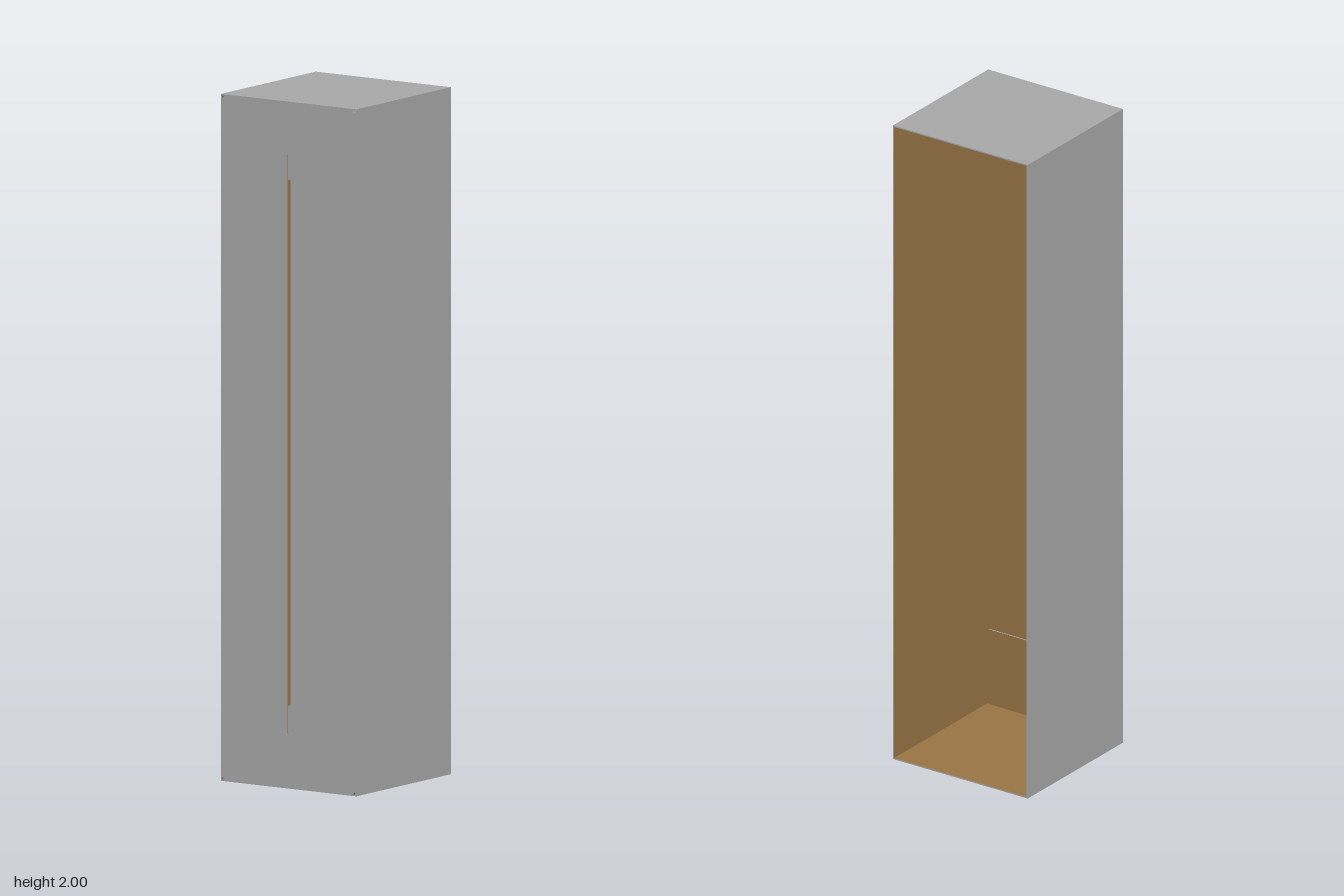
import * as THREE from 'three';

const W = 0.237;   // half width and half depth
const H = 2;       // height
const T = 0.004;   // sheet thickness

export function createModel() {
  const model = new THREE.Group();
  const grey = new THREE.MeshStandardMaterial({ color: 0xaaaaaa });
  grey.name = 'outer grey';
  const tan = new THREE.MeshStandardMaterial({ color: 0x9a7646 });
  tan.name = 'inner tan';

  // Sheet with one tan face; box faces run +x, -x, +y, -y, +z, -z
  function sheet(name, size, position, tanFace) {
    const materials = Array.from({ length: 6 }, (_, i) => (i === tanFace ? tan : grey));
    const mesh = new THREE.Mesh(new THREE.BoxGeometry(...size), materials);
    mesh.position.set(...position);
    mesh.name = name;
    model.add(mesh);
  }

  // Side walls, roof and floor; the back stays open
  sheet('leftWall', [T, H, 2 * W], [W - T / 2, H / 2, 0], 1);
  sheet('rightWall', [T, H, 2 * W], [-W + T / 2, H / 2, 0], 0);
  const inner = 2 * (W - T);
  sheet('roof', [inner, T, 2 * W], [0, H - T / 2, 0], 3);
  sheet('floor', [inner, T, 2 * W], [0, T / 2, 0], 2);

  // Flanges folded behind the front, covering the ends of the slot
  const flangeZ = W - 2.5 * T;
  sheet('upperFlange', [inner - 0.012, 0.23, T], [0, H - 0.115, flangeZ], 5);
  sheet('lowerFlange', [inner - 0.012, 0.24, T], [0, 0.12, flangeZ], 5);

  // Front panel with clipped corners and a tall narrow slot
  const x = W - T, y0 = T, y1 = H - T, c = 0.008;
  const outline = new THREE.Shape([
    [-x + c, y0], [x - c, y0], [x, y0 + c], [x, y1 - c],
    [x - c, y1], [-x + c, y1], [-x, y1 - c], [-x, y0 + c],
  ].map(([px, py]) => new THREE.Vector2(px, py)));
  outline.holes.push(new THREE.Path([
    [-0.007, 0.16], [-0.007, 1.845], [0.007, 1.845], [0.007, 0.16],
  ].map(([px, py]) => new THREE.Vector2(px, py))));

  // Grey outer skin and tan inner skin share the same outline
  [['frontPanel', grey, W - T], ['frontLining', tan, W - 2 * T]].forEach(([name, material, z]) => {
    const geometry = new THREE.ExtrudeGeometry(outline, { depth: T, bevelEnabled: false });
    const mesh = new THREE.Mesh(geometry, material);
    mesh.position.z = z;
    mesh.name = name;
    model.add(mesh);
  });

  return model;
}
